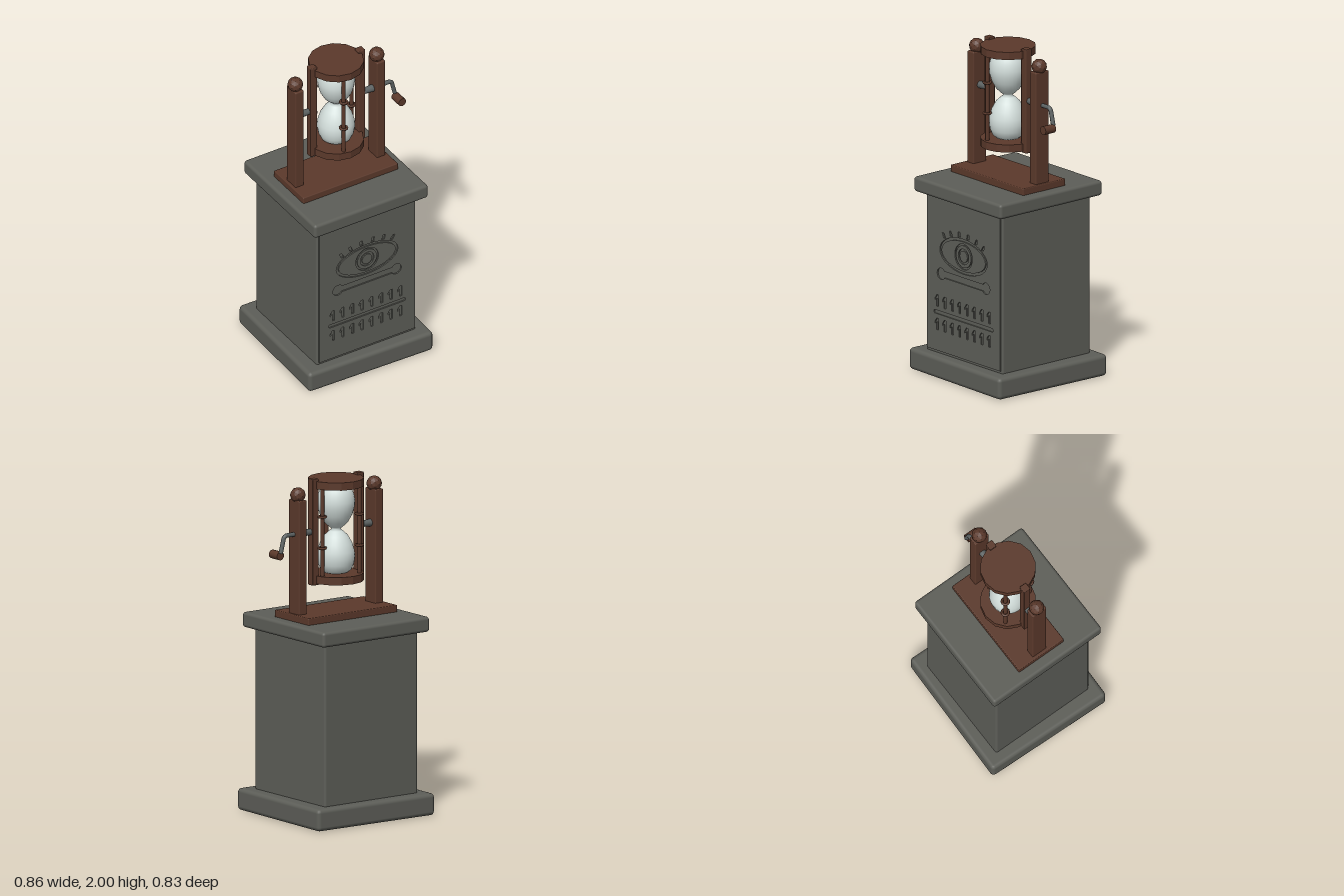
import * as THREE from 'three';
import { toCreasedNormals } from 'three/addons/utils/BufferGeometryUtils.js';
import { RoundedBoxGeometry } from 'three/addons/geometries/RoundedBoxGeometry.js';

const material = (name, color) => {
  const m = new THREE.MeshStandardMaterial({ color });
  m.name = name;
  return m;
};

export function createModel() {
  const model = new THREE.Group();
  model.name = 'hourglassOnPedestal';
  const stone = material('stone', 0x5d5e58);
  const wood = material('wood', 0x5b392b);
  const iron = material('iron', 0x5c6262);
  const glass = material('glass', 0xd3dedb);

  const add = (name, geometry, mat, x = 0, y = 0, z = 0) => {
    const mesh = new THREE.Mesh(geometry, mat);
    mesh.name = name;
    mesh.position.set(x, y, z);
    model.add(mesh);
    return mesh;
  };
  // Rounded block standing between two heights
  const block = (name, mat, w, d, y0, y1, r, x = 0, z = 0) =>
    add(name, new RoundedBoxGeometry(w, y1 - y0, d, 2, r), mat, x, (y0 + y1) / 2, z);

  // Pedestal: slightly crooked foot, square column, cap
  block('pedestalFoot', stone, 0.84, 0.81, 0, 0.13, 0.024).rotation.y = -0.026;
  block('pedestalColumn', stone, 0.68, 0.67, 0.12, 1.1, 0.014, 0, -0.003);
  block('pedestalCap', stone, 0.78, 0.78, 1.085, 1.175, 0.018);

  // Front panel with carvings cut through to the column behind it
  const carve = (points) => new THREE.Path(points.map(([x, y]) => new THREE.Vector2(x, y)));
  const ellipse = (Kind, rx, ry = rx, y = 0.765) =>
    new Kind().absellipse(0, y, rx, ry, 0, Math.PI * 2, false, 0);
  const panel = new THREE.Shape([
    new THREE.Vector2(-0.327, 0.145), new THREE.Vector2(0.327, 0.145),
    new THREE.Vector2(0.327, 1.08), new THREE.Vector2(-0.327, 1.08),
  ]);
  panel.holes.push(ellipse(THREE.Path, 0.212, 0.106));

  // Eyelashes fanned over the eye
  for (let i = 0; i < 6; i++) {
    const a = Math.PI * (0.23 + i * 0.108);
    const bx = Math.cos(a) * 0.222, by = 0.765 + Math.sin(a) * 0.113;
    const dx = Math.cos(a) * 0.022, dy = 0.03;
    panel.holes.push(carve([[bx - 0.01, by], [bx + 0.01, by],
      [bx + dx + 0.008, by + dy], [bx + dx - 0.008, by + dy]]));
  }

  // Rod with knobbed ends below the eye
  const rod = new THREE.Path();
  const knob = Math.asin(0.02 / 0.035);
  rod.absarc(0.2, 0.617, 0.035, knob - Math.PI, Math.PI - knob, false);
  rod.absarc(-0.2, 0.617, 0.035, knob, Math.PI * 2 - knob, false);
  panel.holes.push(rod);

  // Dividing groove between two rows of tally strokes
  const groove = new THREE.Path();
  groove.absarc(0.253, 0.378, 0.011, -Math.PI / 2, Math.PI / 2, false);
  groove.absarc(-0.253, 0.378, 0.011, Math.PI / 2, Math.PI * 1.5, false);
  panel.holes.push(groove);
  for (const y of [0.412, 0.27]) {
    for (let i = 0; i < 8; i++) {
      const x = -0.231 + i * 0.066;
      panel.holes.push(carve([[x - 0.008, y], [x + 0.008, y], [x + 0.008, y + 0.07],
        [x - 0.008, y + 0.07], [x - 0.022, y + 0.05], [x - 0.022, y + 0.036], [x - 0.008, y + 0.046]]));
    }
  }

  // Raised parts left standing inside the eye
  const eye = ellipse(THREE.Shape, 0.196, 0.09);
  eye.holes.push(ellipse(THREE.Path, 0.078));
  const iris = ellipse(THREE.Shape, 0.067);
  iris.holes.push(ellipse(THREE.Path, 0.047));
  const pupil = ellipse(THREE.Shape, 0.034);
  add('carvedPanel', new THREE.ExtrudeGeometry([panel, eye, iris, pupil],
    { depth: 0.009, bevelEnabled: false, curveSegments: 14 }), stone, 0, 0, 0.331);

  // Wooden stand: plate and two posts with faceted ball finials
  block('standPlate', wood, 0.65, 0.324, 1.172, 1.216, 0.006);
  for (const [side, s] of [['right', -1], ['left', 1]]) {
    block(side + 'Post', wood, 0.058, 0.1, 1.21, 1.89, 0.007, s * 0.279);
    const ball = new THREE.IcosahedronGeometry(0.046, 1);
    ball.computeVertexNormals();
    add(side + 'Finial', ball, wood, s * 0.279, 1.917);
    // Pivot pin from post to hourglass frame
    const pin = new THREE.CylinderGeometry(0.023, 0.018, 0.08, 12);
    pin.rotateZ(-s * Math.PI / 2);
    add(side + 'Pivot', pin, iron, s * 0.221, 1.687);
    block(side + 'FrameBar', wood, 0.046, 0.046, 1.37, 2, 0.005, s * 0.165);
  }

  // Hourglass end discs
  for (const [name, y] of [['lowerDisc', 1.402], ['upperDisc', 1.963]]) {
    add(name, toCreasedNormals(new THREE.CylinderGeometry(0.163, 0.163, 0.046, 14), 0.3), wood, 0, y);
  }

  // Three thin rods with collars around the glass
  for (let i = 0; i < 3; i++) {
    const a = -0.23 + i * Math.PI * 2 / 3;
    const x = Math.sin(a) * 0.136, z = Math.cos(a) * 0.136;
    add('thinRod', new THREE.CylinderGeometry(0.012, 0.012, 0.53, 8), wood, x, 1.683, z);
    for (const y of [1.59, 1.775]) {
      const collar = new THREE.TorusGeometry(0.02, 0.008, 6, 12);
      collar.rotateX(Math.PI / 2);
      add('rodCollar', collar, wood, x, y, z);
    }
  }

  // Glass: two bulbs meeting at a narrow neck
  const half = [[0.024, 0], [0.04, 0.012], [0.07, 0.04], [0.095, 0.085], [0.108, 0.13],
    [0.111, 0.165], [0.105, 0.205], [0.09, 0.24], [0.07, 0.256]];
  const lower = half.map(([r, h]) => new THREE.Vector2(r, 1.684 - h)).reverse();
  const upper = half.slice(1).map(([r, h]) => new THREE.Vector2(r, 1.684 + h));
  const profile = [new THREE.Vector2(0, 1.428), ...lower, ...upper, new THREE.Vector2(0, 1.94)];
  add('glassBulbs', new THREE.LatheGeometry(profile, 28), glass);

  // Crank on the left post with a wooden grip
  const path = new THREE.CurvePath();
  const bends = [[0.3, 1.687], [0.368, 1.687], [0.382, 1.675], [0.405, 1.585]]
    .map(([x, y]) => new THREE.Vector3(x, y, 0));
  for (let i = 0; i < 3; i++) path.add(new THREE.LineCurve3(bends[i], bends[i + 1]));
  add('crankArm', new THREE.TubeGeometry(path, 24, 0.013, 8), iron);
  const grip = new THREE.CylinderGeometry(0.026, 0.026, 0.078, 12);
  grip.rotateX(Math.PI / 2);
  add('crankGrip', toCreasedNormals(grip, 0.7), wood, 0.405, 1.571, 0.04);

  return model;
}
